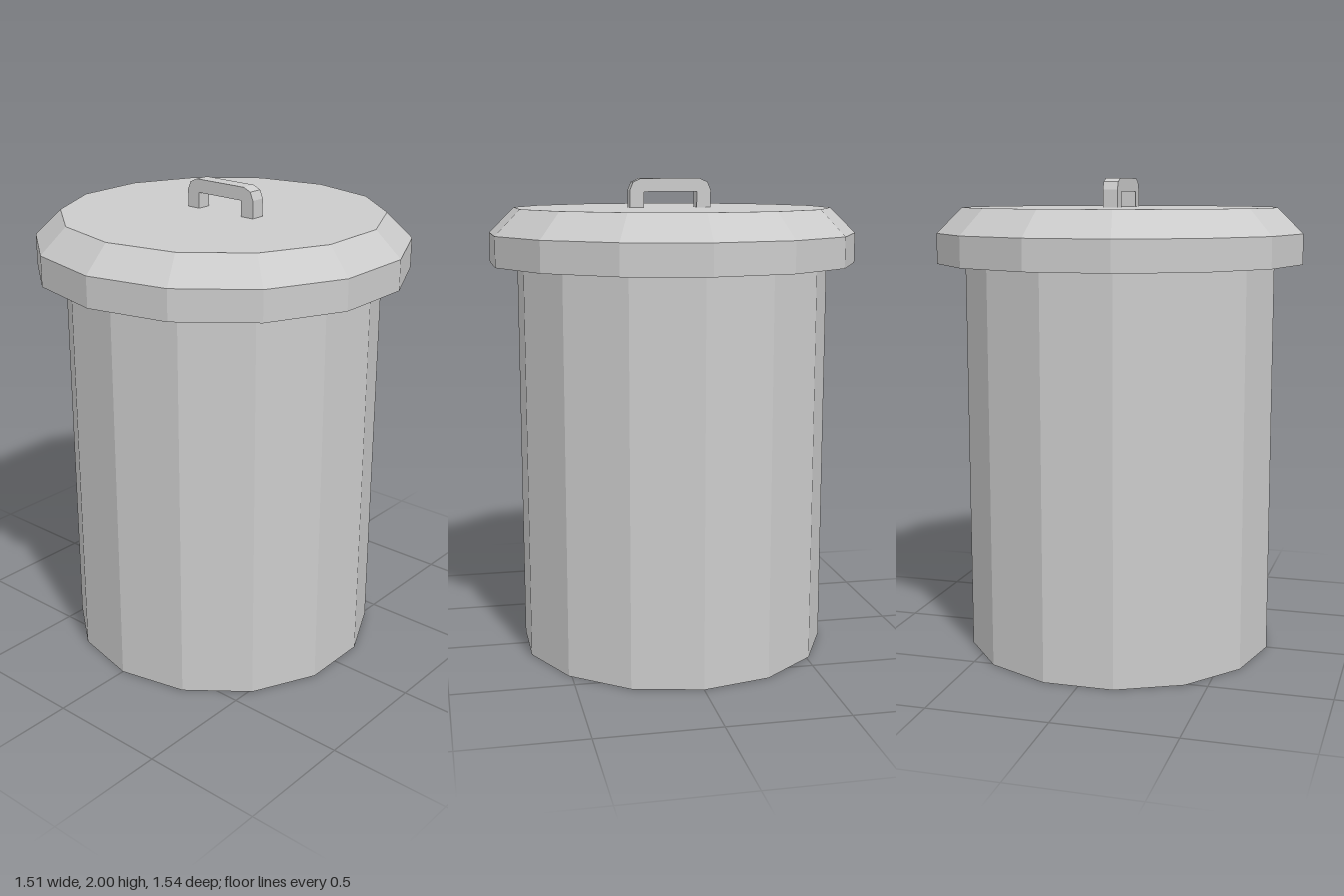
import * as THREE from 'three';

const SIDES = 14;

export function createModel() {
  const group = new THREE.Group();
  const material = new THREE.MeshStandardMaterial({ color: 0xcccccc, flatShading: true });

  const add = (name, geometry) => {
    const mesh = new THREE.Mesh(geometry, material);
    mesh.name = name;
    group.add(mesh);
    return mesh;
  };
  const points = (list) => list.map(([x, y]) => new THREE.Vector2(x, y));

  // Straight-sided bin, closed at the bottom, reaching up inside the lid
  add('body', new THREE.CylinderGeometry(0.655, 0.655, 1.78, SIDES)).position.y = 0.89;

  // Lid: ceiling, inner wall, rim underside, outer wall, sloped shoulder, flat top
  add('lid', new THREE.LatheGeometry(points([
    [0, 1.78], [0.69, 1.78], [0.69, 1.65], [0.772, 1.65],
    [0.772, 1.775], [0.665, 1.88], [0, 1.88],
  ]), SIDES));

  // Handle: bracket with two-step chamfered outer corners
  const half = [[0.112, 1.88], [0.172, 1.88], [0.172, 1.952], [0.158, 1.985], [0.125, 2]];
  const mirrored = half.map(([x, y]) => [-x, y]).reverse();
  const outline = new THREE.Shape(points([
    ...half, ...mirrored, [-0.112, 1.945], [0.112, 1.945],
  ]));
  const handle = new THREE.ExtrudeGeometry(outline, { depth: 0.062, bevelEnabled: false });
  add('handle', handle).position.set(0.01, 0, -0.031);

  return group;
}
